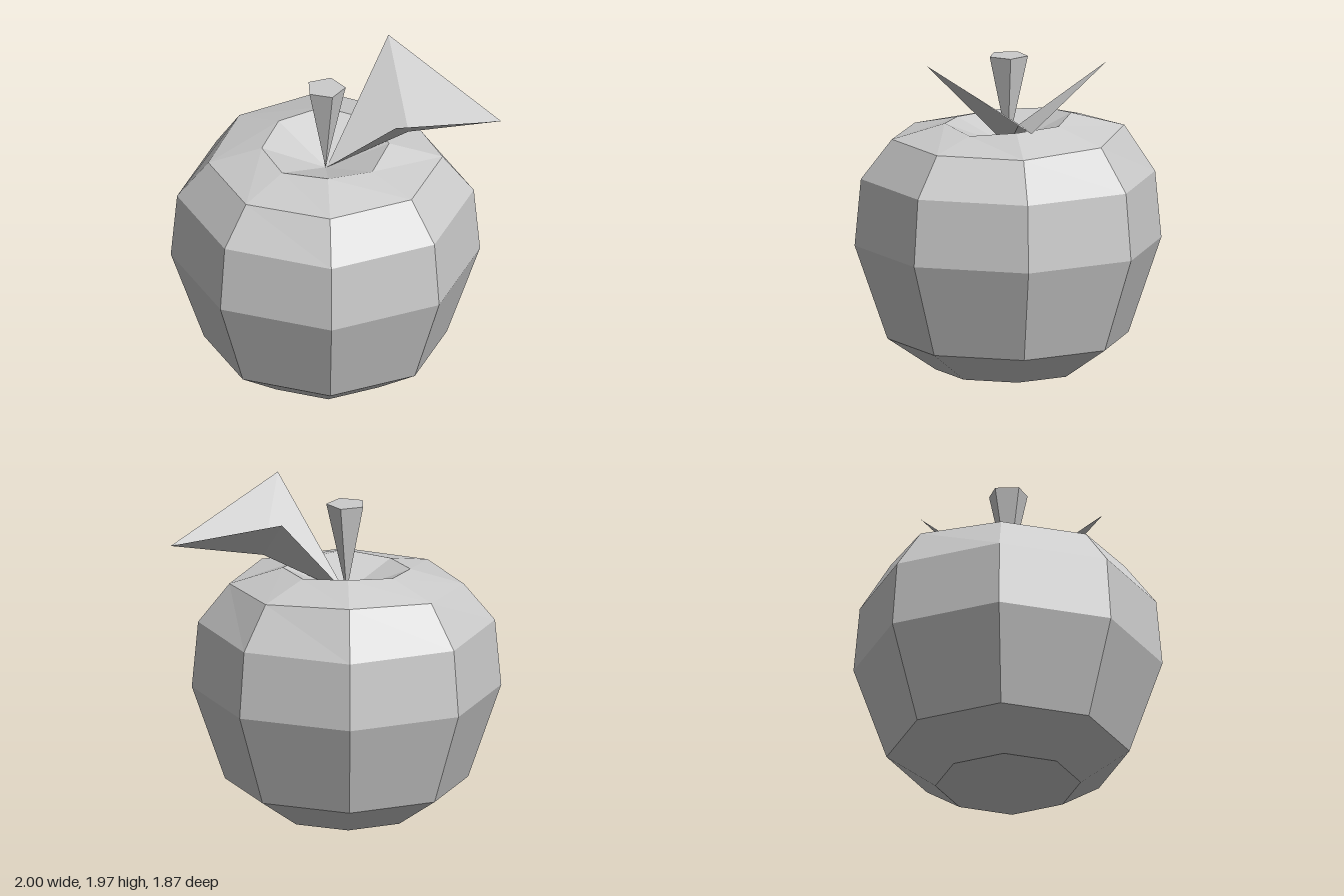
import * as THREE from 'three';

const AXIS_X = -0.0625; // the fruit's axis
const DIP_Y = 1.37;     // bottom of the hollow at the top

const grey = new THREE.MeshStandardMaterial({ color: 0xcccccc, flatShading: true, side: THREE.DoubleSide });
grey.name = 'plainGrey';

function facetedMesh(name, triangles) {
  const geometry = new THREE.BufferGeometry().setFromPoints(triangles);
  geometry.computeVertexNormals();
  const mesh = new THREE.Mesh(geometry, grey);
  mesh.name = name;
  return mesh;
}

// Eight-sided fruit: rings of [radius, height or eight heights starting at +x going to +z]
function makeFruit() {
  const sides = 8;
  const rings = [
    [0, 0.1],
    [0.44, 0],
    [0.735, 0.2],
    [0.935, 0.78],
    [0.897, 1.19],
    [0.708, [1.43, 1.43, 1.43, 1.42, 1.42, 1.45, 1.48, 1.45]],
    [0.385, [1.53, 1.495, 1.52, 1.5, 1.515, 1.54, 1.565, 1.54]],
    [0, DIP_Y],
  ];
  const point = ([radius, height], k) => {
    const angle = (k / sides) * Math.PI * 2;
    const y = Array.isArray(height) ? height[k % sides] : height;
    return new THREE.Vector3(AXIS_X + radius * Math.cos(angle), y, radius * Math.sin(angle));
  };
  const triangles = [];
  for (let r = 0; r < rings.length - 1; r++) {
    const low = rings[r], high = rings[r + 1];
    for (let k = 0; k < sides; k++) {
      const a = point(low, k), b = point(high, k), c = point(high, k + 1), d = point(low, k + 1);
      if (high[0] > 0) triangles.push(a, b, c);
      if (low[0] > 0) triangles.push(a, c, d);
    }
  }
  return facetedMesh('fruit', triangles);
}

// Five-sided stem tapering down into the hollow
function makeStem() {
  const height = 1.93 - DIP_Y;
  const stem = new THREE.Mesh(
    new THREE.CylinderGeometry(0.1225, 0, height, 5, 1, false, Math.PI / 2), grey);
  stem.name = 'stem';
  stem.position.set(AXIS_X, DIP_Y + height / 2, 0);
  return stem;
}

// Leaf folded along its midrib, one mirrored half on each side
function makeLeaf() {
  const base = new THREE.Vector3(-0.055, DIP_Y, 0);
  const rib = new THREE.Vector3(0.44, 1.61, 0);
  const tip = new THREE.Vector3(1, 1.67, 0);
  const triangles = [];
  for (const side of [1, -1]) {
    const edge = new THREE.Vector3(0.34, 1.965, 0.55 * side);
    if (side > 0) triangles.push(base, edge, rib, rib, edge, tip);
    else triangles.push(base, rib, edge, rib, tip, edge);
  }
  return facetedMesh('leaf', triangles);
}

export function createModel() {
  const model = new THREE.Group();
  model.name = 'apple';
  model.add(makeFruit(), makeStem(), makeLeaf());
  return model;
}
